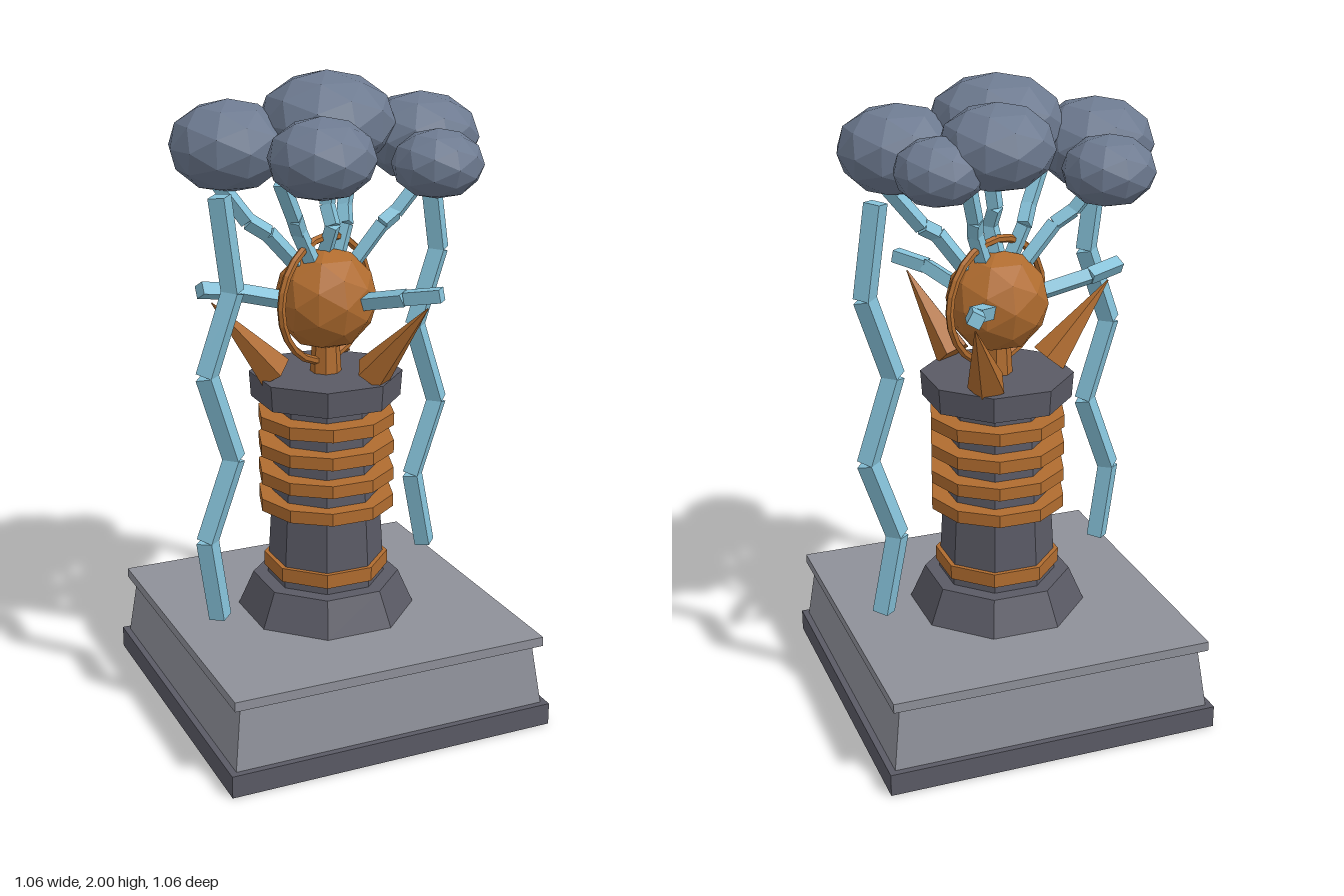
import * as THREE from 'three';

const mat = (name, color) => {
  const m = new THREE.MeshStandardMaterial({ color, flatShading: true });
  m.name = name;
  return m;
};

export function createModel() {
  const root = new THREE.Group();
  const stone = mat('pale stone', 0x8e9099);
  const iron = mat('dark iron', 0x5a5a65);
  const copper = mat('copper', 0xb06c2f);
  const spark = mat('electric blue', 0x85c1d8);
  const vapour = mat('storm grey', 0x6d7a90);

  const add = (name, geo, material, parent = root) => {
    const m = new THREE.Mesh(geo, material);
    m.name = name;
    parent.add(m);
    return m;
  };
  const group = (name) => {
    const g = new THREE.Group();
    g.name = name;
    root.add(g);
    return g;
  };
  // Prism with flats facing the axes; top and bottom are distances to the flats
  const prism = (name, top, bottom, y0, y1, sides, material) => {
    const k = 1 / Math.cos(Math.PI / sides);
    const geo = new THREE.CylinderGeometry(top * k, bottom * k, y1 - y0, sides);
    geo.rotateY(Math.PI / sides);
    return add(name, geo.translate(0, (y0 + y1) / 2, 0), material);
  };
  // Straight tapered rod from a to b
  const rod = (name, a, b, r0, r1, sides, material, parent) => {
    const d = b.clone().sub(a);
    const m = add(name, new THREE.CylinderGeometry(r1, r0, d.length(), sides), material, parent);
    m.position.copy(a).add(b).multiplyScalar(0.5);
    m.quaternion.setFromUnitVectors(new THREE.Vector3(0, 1, 0), d.normalize());
    return m;
  };
  // Zigzag chain of four-sided rods
  const bolt = (name, points, r) => {
    const g = group(name);
    const p = points.map((q) => new THREE.Vector3(...q));
    for (let i = 1; i < p.length; i++) rod('boltSegment', p[i - 1], p[i], r, r, 4, spark, g);
  };

  // Square plinth
  prism('plinthFoot', 0.53, 0.53, 0, 0.07, 4, iron);
  prism('plinthBody', 0.485, 0.51, 0.07, 0.265, 4, stone);
  prism('plinthCap', 0.51, 0.51, 0.265, 0.295, 4, stone);

  // Octagonal column
  prism('columnFoot', 0.215, 0.26, 0.295, 0.405, 8, iron);
  prism('column', 0.14, 0.172, 0.405, 1.0, 8, iron);
  prism('capital', 0.22, 0.215, 1.0, 1.08, 8, iron);

  // Copper windings
  prism('lowerBand', 0.182, 0.182, 0.43, 0.475, 8, copper);
  for (let i = 0; i < 4; i++) {
    const ring = new THREE.CylinderGeometry(0.217, 0.217, 0.04, 10);
    ring.rotateY(Math.PI / 2).translate(0, 0.667 + i * 0.09, 0);
    add('coilRing', ring, copper);
  }

  // Sphere on its neck with a hoop around it
  prism('neck', 0.038, 0.045, 1.08, 1.2, 8, copper);
  add('coreSphere', new THREE.IcosahedronGeometry(0.16, 1), copper).position.y = 1.31;
  const hoop = add('hoop', new THREE.TorusGeometry(0.193, 0.013, 6, 24), copper);
  hoop.position.y = 1.31;
  hoop.rotation.y = 0.4;

  // Three claws, each with a short side spark
  for (let i = 0; i < 3; i++) {
    const a = Math.PI + (i * Math.PI * 2) / 3;
    const at = (r, y, off = 0) => [
      r * Math.cos(a) - off * Math.sin(a), y, r * Math.sin(a) + off * Math.cos(a)];
    rod('claw', new THREE.Vector3(...at(0.175, 1.1)), new THREE.Vector3(...at(0.37, 1.335)),
      0.06, 0.002, 5, copper, root);
    bolt('sideSpark', [at(0.14, 1.32), at(0.3, 1.36, 0.015), at(0.41, 1.38, -0.01)], 0.028);
  }

  // Sparks rising from the sphere into the clouds
  [
    [[-0.09, 1.42, 0], [-0.19, 1.53, 0.01], [-0.25, 1.57, 0], [-0.34, 1.7, -0.04]],
    [[-0.06, 1.44, 0.03], [-0.1, 1.53, 0.03], [-0.13, 1.58, 0.07], [-0.19, 1.7, 0.11]],
    [[0, 1.46, 0], [0.01, 1.54, 0.03], [0.005, 1.6, 0], [0.025, 1.76, 0.01]],
    [[0.05, 1.44, -0.02], [0.08, 1.53, -0.03], [0.09, 1.58, -0.06], [0.13, 1.74, -0.09]],
    [[0.1, 1.42, 0], [0.18, 1.53, 0.02], [0.23, 1.56, 0.01], [0.35, 1.71, 0.03]],
  ].forEach((p) => bolt('risingSpark', p, 0.026));

  // Tall bolts falling from the clouds
  const heights = [1.68, 1.4, 1.155, 0.89, 0.64, 0.385];
  const fall = (xs, z) => bolt('tallBolt', heights.map((y, i) => [xs[i], y, z]), 0.036);
  fall([-0.39, -0.355, -0.44, -0.36, -0.45, -0.415], 0.14);
  fall([0.41, 0.45, 0.37, 0.455, 0.37, 0.42], -0.122);

  // Storm clouds: x, y, z, radius, half height
  [
    [0, 1.85, 0.007, 0.205, 0.15],
    [-0.287, 1.787, -0.055, 0.18, 0.137],
    [0.297, 1.792, 0.03, 0.18, 0.135],
    [0.093, 1.84, -0.248, 0.168, 0.126],
    [-0.24, 1.752, -0.268, 0.137, 0.105],
    [0.262, 1.785, -0.25, 0.132, 0.1],
    [-0.118, 1.782, 0.24, 0.158, 0.12],
    [0.237, 1.748, 0.262, 0.136, 0.102],
  ].forEach(([x, y, z, r, h]) => {
    const c = add('cloudPuff', new THREE.IcosahedronGeometry(1, 1), vapour);
    c.position.set(x, y, z);
    c.scale.set(r, h, r);
  });

  return root;
}
